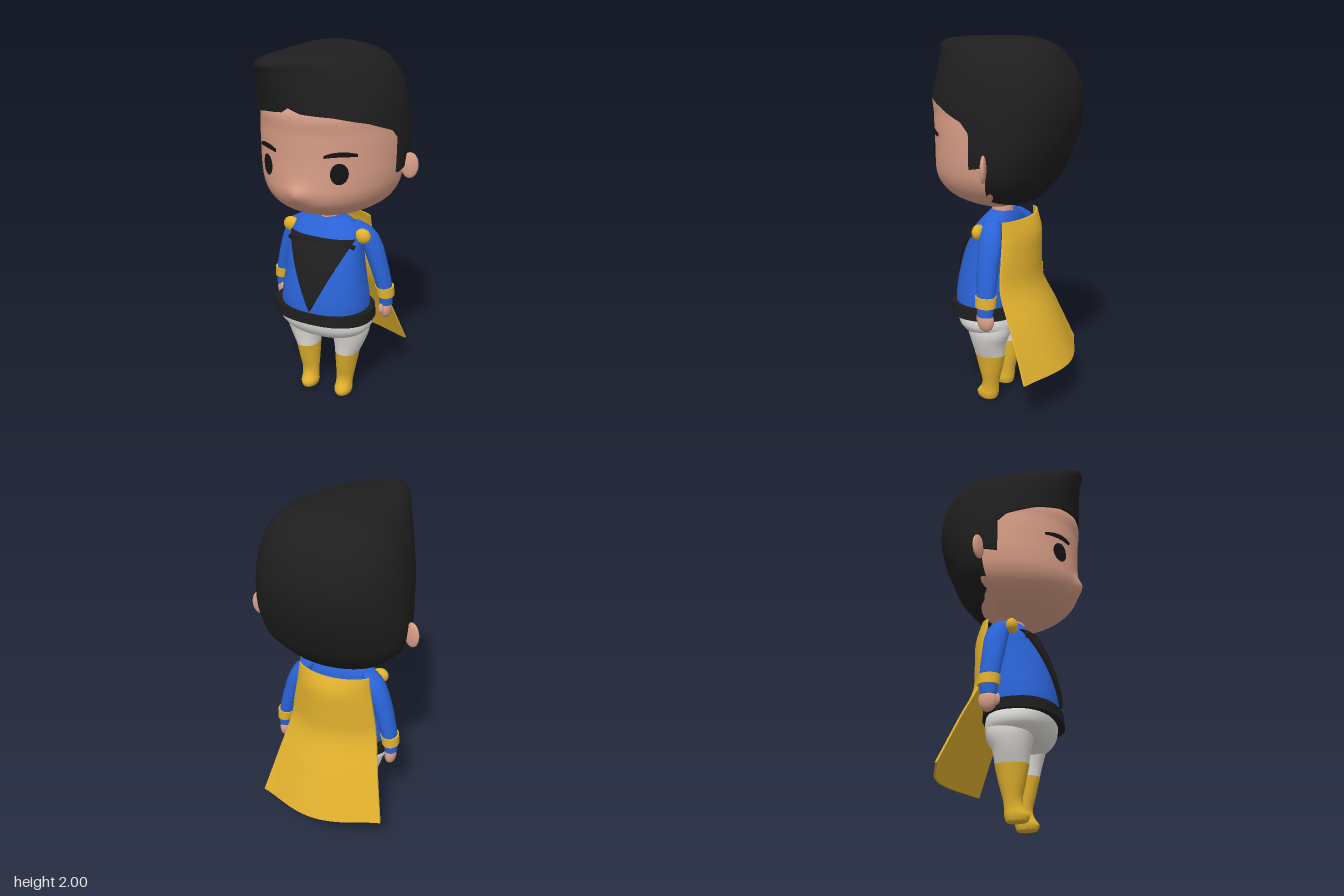
import * as THREE from 'three';

const mat = (name, color, side = THREE.FrontSide) => {
  const m = new THREE.MeshStandardMaterial({ color, side });
  m.name = name;
  return m;
};

// Smooth lookup through rows of [key, ...values], keys ascending
function profile(rows) {
  const size = rows[0].length - 1;
  const spline = new THREE.CubicInterpolant(
    new Float32Array(rows.map(r => r[0])), new Float32Array(rows.flatMap(r => r.slice(1))), size);
  return key => Array.from(spline.evaluate(key));
}

// Point on a rounded section [cx, cz, halfWidth, back, front]; phi 0 is the front, turning to +x
function ringPoint([cx, cz, w, b, f], y, phi, n) {
  const s = Math.sin(phi), c = Math.cos(phi), e = 2 / n;
  return new THREE.Vector3(cx + w * Math.sign(s) * Math.abs(s) ** e, y,
    cz + (c > 0 ? f : b) * Math.sign(c) * Math.abs(c) ** e);
}

// Skin closed rings, listed bottom to top
function skinRings(rings) {
  const m = rings[0].length, pos = [], idx = [];
  rings.forEach(r => r.forEach(p => pos.push(p.x, p.y, p.z)));
  for (let i = 0; i < rings.length - 1; i++) {
    for (let j = 0; j < m; j++) {
      const k = (j + 1) % m, a = i * m + j, b = i * m + k;
      idx.push(a, b, b + m, a, b + m, a + m);
    }
  }
  const g = new THREE.BufferGeometry();
  g.setAttribute('position', new THREE.Float32BufferAttribute(pos, 3));
  g.setIndex(idx);
  g.computeVertexNormals();
  return g;
}

// Capped loft through rows [y, cx, cz, halfWidth, back, front]
function loft(rows, { n = 2, seg = 28, steps = 14, bend = p => p } = {}) {
  const prof = profile(rows), y0 = rows[0][0], y1 = rows[rows.length - 1][0], rings = [];
  for (let i = 0; i <= steps; i++) {
    const y = y0 + (y1 - y0) * i / steps, sec = prof(y);
    rings.push(Array.from({ length: seg }, (_, j) => bend(ringPoint(sec, y, j / seg * Math.PI * 2, n))));
  }
  const cap = (ring, r) => ring.map(() => new THREE.Vector3(r[1], r[0], r[2]));
  const low = rings[0], high = rings[steps];
  return skinRings([cap(low, rows[0]), low, ...rings, high, cap(high, rows[rows.length - 1])]);
}

// Thin slab shaped by fn(u -1..1, v 0..1, k 0 back / 1 front)
function slab(nx, ny, fn) {
  const g = new THREE.BoxGeometry(2, 1, 1, nx, ny, 1), p = g.attributes.position;
  for (let i = 0; i < p.count; i++) p.setXYZ(i, ...fn(p.getX(i), p.getY(i) + 0.5, p.getZ(i) + 0.5));
  g.computeVertexNormals();
  return g;
}

const frontZ = ([cx, cz, w, , f], x, n) =>
  cz + f * (1 - Math.min(1, Math.abs(x - cx) / w) ** n) ** (1 / n);

const HEAD_N = 2.02, HAIR_N = 2.12, BODY_N = 2.3;
const headRows = [
  [1.11, 0, 0.02, 0.08, 0.07, 0.06], [1.14, 0, -0.02, 0.18, 0.06, 0.2], [1.18, 0, -0.06, 0.275, 0.06, 0.325],
  [1.23, 0, -0.085, 0.33, 0.11, 0.41], [1.29, 0, -0.1, 0.365, 0.16, 0.452], [1.36, 0, -0.1, 0.38, 0.2, 0.455],
  [1.46, 0, -0.1, 0.385, 0.24, 0.455], [1.6, 0, -0.1, 0.382, 0.27, 0.46], [1.72, 0, -0.1, 0.362, 0.27, 0.463],
  [1.8, 0, -0.1, 0.28, 0.22, 0.4], [1.9, 0, -0.1, 0.13, 0.1, 0.22]];
const torsoRows = [
  [0.55, 0, 0.03, 0.25, 0.15, 0.205], [0.62, 0, 0.03, 0.25, 0.15, 0.205], [0.75, 0, 0.03, 0.232, 0.14, 0.185],
  [0.9, 0, 0.03, 0.213, 0.13, 0.14], [1.0, 0, 0.02, 0.2, 0.11, 0.1], [1.05, 0, 0.01, 0.165, 0.09, 0.07],
  [1.085, 0, 0, 0.1, 0.06, 0.05]];
const headAt = profile(headRows), torsoAt = profile(torsoRows);
const nose = (x, y) => 0.028 * Math.exp(-((x / 0.055) ** 2) - ((y - 1.3) / 0.05) ** 2);
const faceZ = (x, y) => frontZ(headAt(y), x, HEAD_N) + nose(x, y);

// Hair shell from a hairline up to the crown, swept to a point over the model's right brow
function hairGeometry() {
  const line = [[0, 1.74], [0.12, 1.715], [0.5, 1.7], [0.906, 1.66], [1.278, 1.6], [1.38, 1.55], [1.39, 1.37],
    [1.54, 1.385], [1.57, 1.39], [1.6, 1.22], [1.75, 1.19], [2.2, 1.17], [Math.PI, 1.16]];
  const half = [];
  for (let i = 0; i < line.length - 1; i++) {
    const [a, ya] = line[i], [b, yb] = line[i + 1], k = Math.ceil((b - a) / 0.09);
    for (let j = 0; j < k; j++) half.push([a + (b - a) * j / k, ya + (yb - ya) * j / k]);
  }
  const cols = [...half, line[line.length - 1], ...half.slice(1).reverse().map(([p, y]) => [-p, y])];
  // Sections keyed by the square root of the depth below the crown
  const sec = profile([
    [2, -0.1, 0, 0, 0], [1.99, -0.1, 0.105, 0.08, 0.32], [1.975, -0.1, 0.175, 0.13, 0.46],
    [1.95, -0.1, 0.24, 0.18, 0.52], [1.9, -0.1, 0.3, 0.235, 0.508], [1.82, -0.1, 0.348, 0.285, 0.49],
    [1.72, -0.1, 0.377, 0.315, 0.476], [1.6, -0.1, 0.394, 0.316, 0.47], [1.45, -0.1, 0.401, 0.28, 0.465],
    [1.36, -0.092, 0.392, 0.25, 0.46], [1.28, -0.075, 0.37, 0.235, 0.43], [1.16, -0.045, 0.265, 0.165, 0.36],
  ].map(([y, cz, w, b, f]) => [Math.sqrt(2 - y), 0, cz, w, b, f]));
  const steps = 28, rings = [];
  for (let i = 0; i <= steps; i++) {
    rings.push(cols.map(([phi, y0]) => {
      const q = Math.sqrt(2 - y0) * (1 - i / steps), y = 2 - q * q, s = sec(q);
      const p = ringPoint(s, y, phi, HAIR_N), c = Math.max(0, Math.cos(phi));
      const sweep = THREE.MathUtils.smoothstep(y, 1.62, 1.96) * c * c;
      p.x = p.x * (1 - 0.2 * sweep) - 0.147 * sweep * s[4] / 0.52;
      return p;
    }));
  }
  // Underside tucked into the head
  const inner = rings[0].map(p => new THREE.Vector3(p.x * 0.75, p.y + 0.02, -0.1 + (p.z + 0.1) * 0.7));
  return skinRings([inner, rings[0], ...rings]);
}

export function createModel() {
  const group = new THREE.Group();
  const skin = mat('skin', 0xda9f88), black = mat('black', 0x1e1e1e), blue = mat('blue', 0x2a63d6);
  const gold = mat('gold', 0xe1b12e), white = mat('white', 0xe4e2dd), ink = mat('eye black', 0x141414);
  const hairMat = mat('hair', 0x1e1e1e, THREE.DoubleSide);
  const add = (name, geo, material, x = 0, y = 0, z = 0) => {
    const m = new THREE.Mesh(geo, material);
    m.name = name;
    m.position.set(x, y, z);
    group.add(m);
    return m;
  };
  const ball = (name, material, c, r) => {
    const m = add(name, new THREE.SphereGeometry(1, 20, 14), material, ...c);
    m.scale.set(...r);
    return m;
  };

  // Head
  add('head', loft(headRows, { n: HEAD_N, seg: 72, steps: 48,
    bend: p => { if (p.z > 0) p.z += nose(p.x, p.y); return p; } }), skin);
  add('hair', hairGeometry(), hairMat);
  add('neck', new THREE.CylinderGeometry(0.052, 0.062, 0.15, 20), skin, 0, 1.115, -0.005);

  // Torso, chest panel and belt
  add('torso', loft(torsoRows, { n: BODY_N, seg: 48, steps: 24 }), blue);
  const chestZ = (x, y) => frontZ(torsoAt(y), x, BODY_N);
  add('chestPanel', slab(20, 16, (u, v, k) => {
    const y = 0.6 + 0.39 * v, x = u * 0.19 * v;
    return [x, y, chestZ(x, y) - 0.005 + 0.022 * k];
  }), black);
  const strap = Array.from({ length: 13 }, (_, i) => {
    const x = -0.192 + 0.032 * i, y = 0.978 - 0.03 * (x / 0.192) ** 6;
    return new THREE.Vector3(x, y, chestZ(x, y) + 0.006);
  });
  add('chestStrap', new THREE.TubeGeometry(new THREE.CatmullRomCurve3(strap), 36, 0.013, 8), black);
  add('belt', loft([[0.525, 0, 0.048, 0.287, 0.205, 0.205], [0.585, 0, 0.048, 0.283, 0.2, 0.2]],
    { n: BODY_N, seg: 48, steps: 2 }), black);
  add('trousers', loft([[0.385, 0, 0.02, 0.08, 0.08, 0.08], [0.405, 0, 0.02, 0.18, 0.14, 0.13],
    [0.45, 0, 0.03, 0.252, 0.17, 0.165], [0.51, 0, 0.035, 0.27, 0.175, 0.18], [0.56, 0, 0.04, 0.255, 0.17, 0.175]],
    { n: BODY_N, seg: 40 }), white);

  // Cape, bowed backwards in the middle
  const capeAt = profile([[0.25, 0.36, -0.3, -0.405], [0.5, 0.3, -0.2, -0.3], [0.7, 0.255, -0.115, -0.215],
    [0.85, 0.232, -0.108, -0.21], [1.0, 0.207, -0.105, -0.205], [1.065, 0.2, -0.102, -0.175]]);
  add('cape', slab(24, 24, (u, v, k) => {
    const y = 0.25 + 0.815 * v, [w, edge, mid] = capeAt(y);
    const bow = Math.max(0, Math.cos(u * Math.PI / 2)) ** (1.25 - 0.6 * v);
    return [u * w, y, edge + (mid - edge) * bow + 0.012 * (k - 0.5)];
  }), gold);

  for (const s of [1, -1]) {
    const side = s > 0 ? 'left' : 'right';
    const limb = (name, rows, material, opt) =>
      add(side + name, loft(rows.map(([y, x, ...r]) => [y, x * s, ...r]), opt), material);

    // Face details laid over the skin
    const eye = new THREE.CircleGeometry(1, 28), p = eye.attributes.position;
    for (let i = 0; i < p.count; i++) {
      const x = s * 0.198 + p.getX(i) * 0.038, y = 1.42 + p.getY(i) * 0.055;
      p.setXYZ(i, x, y, faceZ(x, y) + 0.008);
    }
    eye.computeVertexNormals();
    add(side + 'Eye', eye, ink);
    add(side + 'Eyebrow', slab(12, 1, (u, v, k) => {
      const x = s * 0.2 + u * 0.067, y = 1.518 - 0.01 * u * u + (v - 0.5) * 0.023 * (1 - 0.4 * u * u);
      return [x, y, faceZ(x, y) + 0.009 * k];
    }), ink);
    ball(side + 'Ear', skin, [s * 0.416, 1.385, -0.097], [0.046, 0.07, 0.016]).rotation.y = s * 0.35;

    // Arm
    limb('Sleeve', [[0.585, 0.324, -0.057, 0.035, 0.043, 0.043], [0.68, 0.312, -0.056, 0.042, 0.05, 0.05],
      [0.85, 0.266, -0.048, 0.052, 0.058, 0.06], [0.95, 0.23, -0.043, 0.055, 0.06, 0.063],
      [1.02, 0.19, -0.028, 0.05, 0.055, 0.055], [1.055, 0.15, -0.012, 0.03, 0.04, 0.04]], blue);
    limb('Cuff', [[0.635, 0.32, -0.058, 0.047, 0.056, 0.056], [0.69, 0.312, -0.056, 0.051, 0.058, 0.058]],
      gold, { steps: 2 });
    ball(side + 'Hand', skin, [s * 0.323, 0.555, -0.06], [0.032, 0.058, 0.047]);
    ball(side + 'Thumb', skin, [s * 0.31, 0.565, -0.018], [0.016, 0.032, 0.018]);
    ball(side + 'ShoulderKnob', gold, [s * 0.215, 1.0, 0.035], [0.045, 0.042, 0.032]);

    // Leg and boot
    limb('Leg', [[0.27, 0.123, 0.013, 0.065, 0.084, 0.084], [0.35, 0.135, 0.012, 0.088, 0.095, 0.1],
      [0.42, 0.14, 0.008, 0.105, 0.118, 0.122], [0.5, 0.14, 0.015, 0.108, 0.13, 0.14]], white);
    limb('Boot', [[0.005, 0.107, 0.025, 0.044, 0.045, 0.066], [0.03, 0.107, 0.025, 0.051, 0.052, 0.075],
      [0.06, 0.108, 0.02, 0.048, 0.048, 0.058], [0.1, 0.11, 0.016, 0.049, 0.048, 0.048],
      [0.18, 0.116, 0.014, 0.058, 0.066, 0.065], [0.28, 0.124, 0.013, 0.068, 0.088, 0.088]], gold, { steps: 20 });
    limb('Sole', [[0, 0.107, 0.025, 0.04, 0.04, 0.06], [0.008, 0.107, 0.025, 0.045, 0.046, 0.068]], gold, { steps: 1 });
  }
  return group;
}
